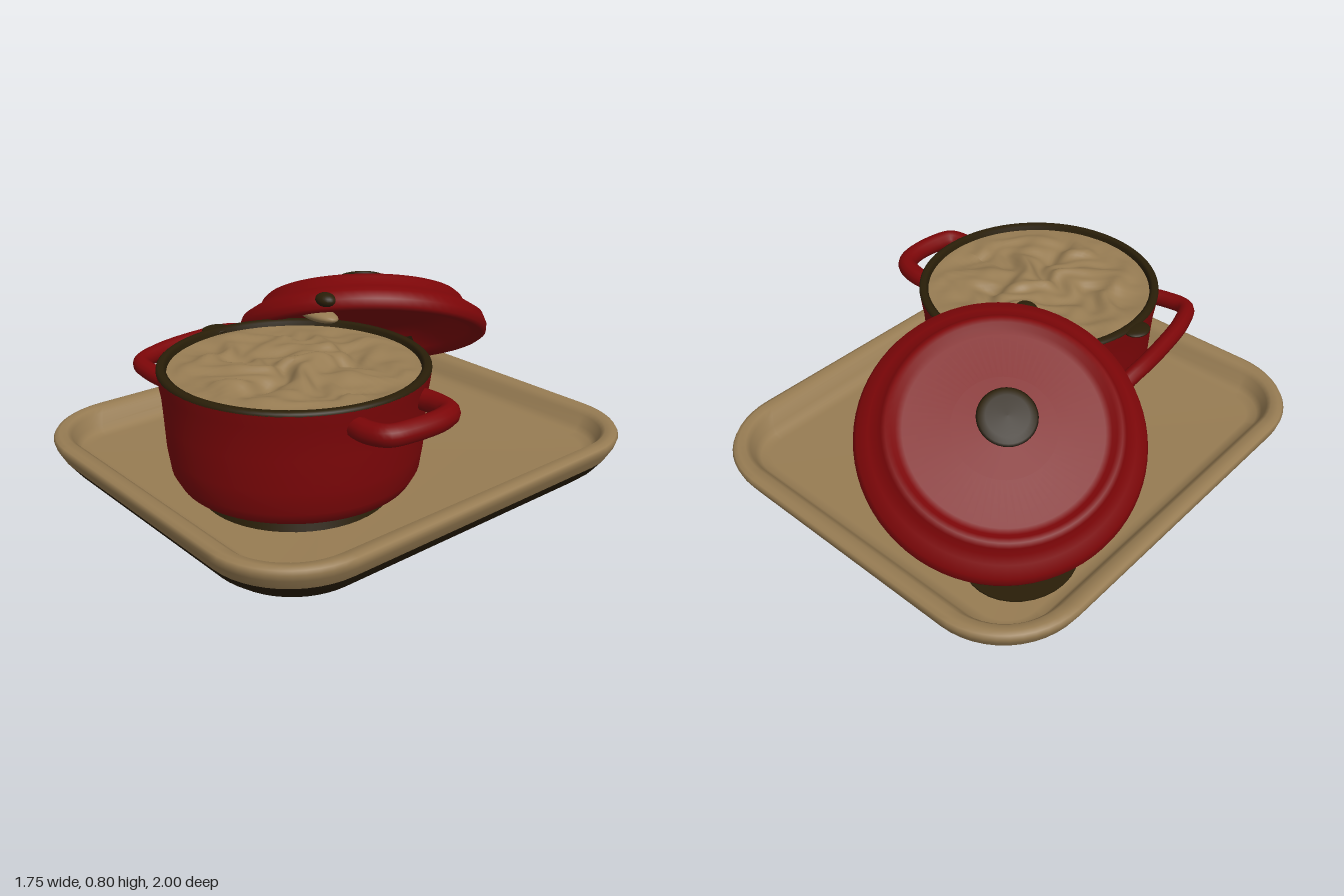
import * as THREE from 'three';

const mat = (name, color) => {
  const m = new THREE.MeshStandardMaterial({ color });
  m.name = name;
  return m;
};
const V2 = (pts) => pts.map(([x, y]) => new THREE.Vector2(x, y));
const V3 = (pts) => pts.map((p) => new THREE.Vector3(...p));

export function createModel() {
  const red = mat('enamelRed', 0x7c0608);
  const beige = mat('warmBeige', 0x977c53);
  const brown = mat('darkBrown', 0x291e08);

  const model = new THREE.Group();
  const add = (parent, name, geometry, material, pos = [0, 0, 0]) => {
    const mesh = new THREE.Mesh(geometry, material);
    mesh.name = name;
    mesh.position.set(...pos);
    parent.add(mesh);
    return mesh;
  };
  const lathe = (pts, seg = 72, start = 0, len = Math.PI * 2) =>
    new THREE.LatheGeometry(V2(pts), seg, start, len);

  // Skin through stacked rounded rectangles: [half width, half depth, corner radius, y]
  const loft = (rows) => {
    const n = 12, per = n * 4 + 4, pos = [], idx = [];
    for (const [hx, hz, r, y] of rows) {
      for (let q = 0; q < 4; q++) {
        const sx = q === 0 || q === 3 ? 1 : -1, sz = q < 2 ? 1 : -1;
        for (let k = 0; k <= n; k++) {
          const t = (q + k / n) * Math.PI / 2;
          pos.push(sx * (hx - r) + r * Math.cos(t), y, sz * (hz - r) + r * Math.sin(t));
        }
      }
    }
    for (let j = 0; j < rows.length - 1; j++) {
      for (let i = 0; i < per; i++) {
        const a = j * per + i, b = j * per + (i + 1) % per;
        idx.push(a, a + per, b, b, a + per, b + per);
      }
    }
    const g = new THREE.BufferGeometry();
    g.setAttribute('position', new THREE.Float32BufferAttribute(pos, 3));
    g.setIndex(idx);
    g.computeVertexNormals();
    return g;
  };

  // Tray: dark underside, light rim and floor
  const tray = new THREE.Group();
  tray.name = 'tray';
  model.add(tray);
  add(tray, 'trayUnderside', loft([
    [0, 0, 0, 0], [0.74, 0.86, 0.25, 0], [0.772, 0.892, 0.28, 0.012],
    [0.808, 0.932, 0.31, 0.045], [0.845, 0.97, 0.335, 0.096],
  ]), brown);
  add(tray, 'trayRimAndFloor', loft([
    [0.845, 0.97, 0.335, 0.096], [0.868, 0.993, 0.35, 0.14], [0.875, 1, 0.355, 0.166],
    [0.868, 0.993, 0.35, 0.18], [0.85, 0.975, 0.33, 0.187], [0.815, 0.94, 0.28, 0.183],
    [0.793, 0.915, 0.24, 0.165], [0.772, 0.892, 0.2, 0.122], [0.75, 0.868, 0.17, 0.099],
    [0.71, 0.83, 0.14, 0.09], [0, 0, 0, 0.09],
  ]), beige);
  // Dark mark on the tray floor under the low edge of the lid
  const lidMark = add(tray, 'lidMark', new THREE.CylinderGeometry(0.21, 0.21, 0.006, 32), brown, [-0.5, 0.093, -0.53]);
  lidMark.scale.z = 1.1;

  // Pot
  const pot = new THREE.Group();
  pot.name = 'pot';
  pot.position.set(0.18, 0, 0.36);
  model.add(pot);
  add(pot, 'potFoot', new THREE.CylinderGeometry(0.36, 0.375, 0.05, 48), brown, [0.005, 0.114, 0.005]);
  add(pot, 'potBody', lathe([
    [0, 0.128], [0.35, 0.13], [0.41, 0.139], [0.452, 0.162], [0.478, 0.21],
    [0.491, 0.3], [0.497, 0.42], [0.502, 0.5], [0.51, 0.55], [0.516, 0.597],
  ]), red);
  add(pot, 'potRim', lathe([
    [0.516, 0.596], [0.515, 0.605], [0.507, 0.611], [0.49, 0.611], [0.479, 0.604], [0.474, 0.55],
  ]), brown);

  // Creamy filling with uneven lumps that fade out at the wall
  const filling = new THREE.RingGeometry(0.001, 0.48, 96, 36);
  filling.rotateX(-Math.PI / 2);
  const p = filling.attributes.position;
  for (let i = 0; i < p.count; i++) {
    const x = p.getX(i), z = p.getZ(i), r = Math.hypot(x, z) / 0.48;
    const u = x + 0.05 * Math.sin(z * 19 + 2) + 0.02 * Math.sin(z * 41);
    const v = z + 0.05 * Math.sin(x * 16 + 1) + 0.02 * Math.sin(x * 37);
    const lump = Math.sin(u * 12 + 0.6) * Math.cos(v * 15) + 0.5 * Math.sin(u * 25 - v * 19)
      + 0.25 * Math.sin(u * 44 + v * 31);
    p.setY(i, 0.588 + 0.022 * lump * (1 - r ** 4) + 0.005 * (1 - r * r));
  }
  filling.computeVertexNormals();
  add(pot, 'filling', filling, beige);

  // Loop handles
  const handle = (name, pts, radius) => add(model, name, new THREE.TubeGeometry(
    new THREE.CatmullRomCurve3(V3(pts), false, 'centripetal'), 48, radius, 12), red);
  handle('leftHandle', [
    [0.58, 0.53, 0.13], [0.7, 0.532, 0.125], [0.79, 0.538, 0.155], [0.824, 0.541, 0.23],
    [0.824, 0.541, 0.37], [0.8, 0.538, 0.45], [0.73, 0.532, 0.475], [0.62, 0.53, 0.47],
  ], 0.041);
  handle('rightHandle', [
    [-0.12, 0.51, 0.7], [-0.25, 0.52, 0.722], [-0.35, 0.53, 0.71], [-0.405, 0.535, 0.6],
    [-0.445, 0.535, 0.4], [-0.46, 0.525, 0.2], [-0.435, 0.49, 0.08], [-0.35, 0.48, 0.07],
    [-0.2, 0.49, 0.15],
  ], 0.035);

  // Lid leaning on the pot
  const lid = new THREE.Group();
  lid.name = 'lid';
  lid.position.set(-0.26, 0.43, -0.37);
  lid.quaternion.setFromUnitVectors(
    new THREE.Vector3(0, 1, 0), new THREE.Vector3(-0.475, 1, -0.38).normalize());
  model.add(lid);
  add(lid, 'lidShell', lathe([
    [0, 0.122], [0.36, 0.115], [0.425, 0.088], [0.475, 0.02], [0.495, -0.005], [0.535, -0.012],
    [0.553, 0], [0.557, 0.03], [0.543, 0.07], [0.5, 0.1], [0.468, 0.12],
    [0.452, 0.152], [0.435, 0.168], [0.415, 0.165], [0.4, 0.146], [0.375, 0.141],
    [0.2, 0.145], [0, 0.148],
  ]), red);
  // Dark patch inside the low edge
  add(lid, 'lidInnerPatch', lathe([
    [0.43, 0.074], [0.469, 0.016], [0.493, -0.01], [0.535, -0.017],
  ], 28, 3.4, 1.7), brown);
  add(lid, 'knobStem', lathe([[0.055, 0.14], [0.04, 0.155], [0.034, 0.23]], 32), red);
  add(lid, 'knob', lathe([
    [0, 0.215], [0.036, 0.215], [0.055, 0.235], [0.1, 0.252], [0.113, 0.264],
    [0.105, 0.274], [0.08, 0.278], [0, 0.28],
  ], 40), brown);

  // Small drips on the rims: [name, material, position, scale]
  const drop = new THREE.SphereGeometry(1, 20, 14);
  for (const [name, material, pos, size] of [
    ['rimDrip', brown, [-0.345, 0.597, 0.36], [0.05, 0.013, 0.06]],
    ['lidDrip', brown, [-0.04, 0.728, 0.025], [0.05, 0.03, 0.04]],
    ['creamDrip', beige, [-0.1, 0.652, 0.02], [0.12, 0.027, 0.05]],
  ]) add(model, name, drop, material, pos).scale.set(...size);

  return model;
}
